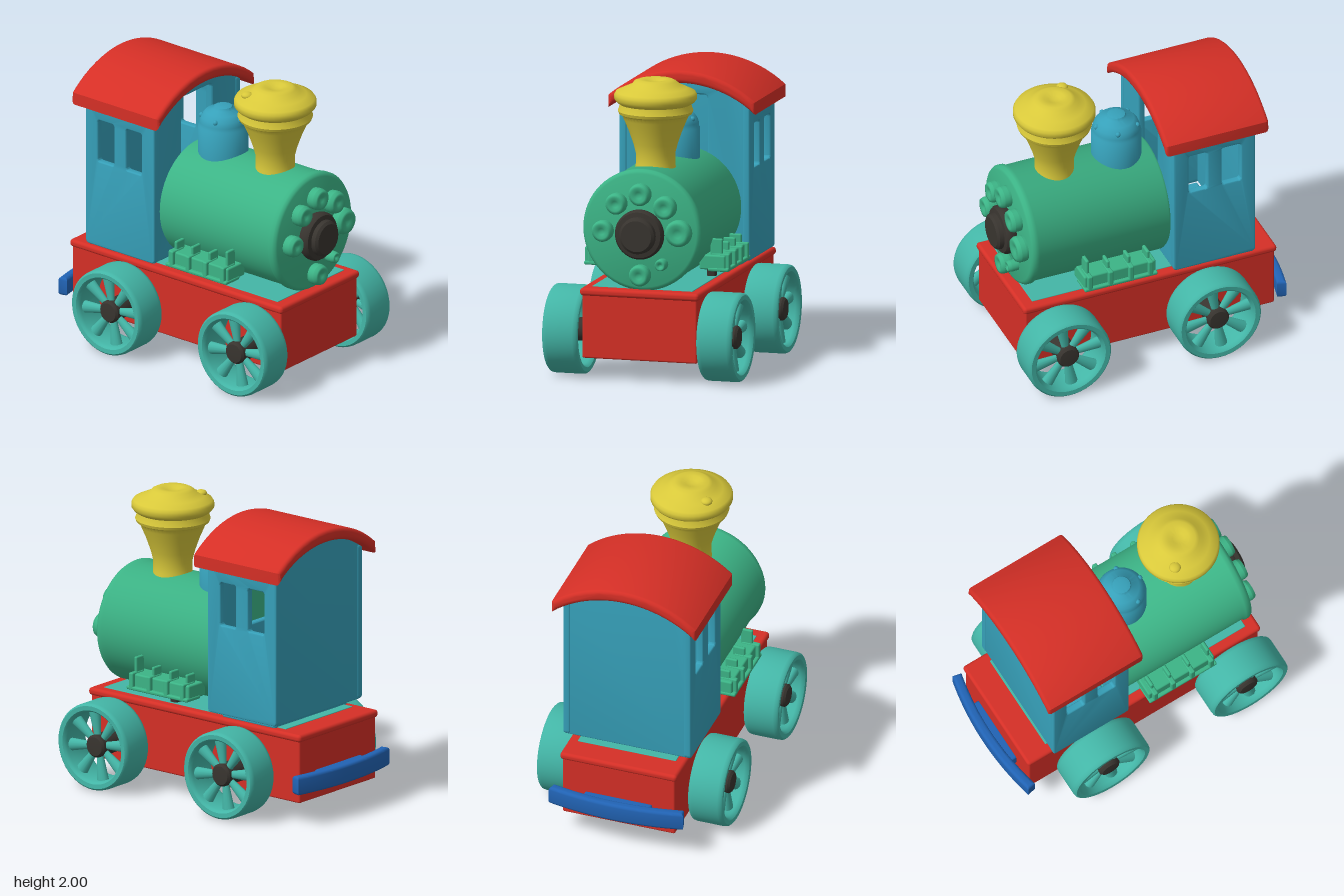
import * as THREE from 'three';
import { toCreasedNormals } from 'three/addons/utils/BufferGeometryUtils.js';
import { RoundedBoxGeometry } from 'three/addons/geometries/RoundedBoxGeometry.js';

const material = (name, color) => new THREE.MeshStandardMaterial({ name, color });

export function createModel() {
  const red = material('red', 0xd52f26);
  const green = material('green', 0x3cb486);
  const teal = material('teal', 0x43b5a6);
  const cyan = material('cyan', 0x36a0b9);
  const yellow = material('yellow', 0xd8c83a);
  const blue = material('blue', 0x2163b4);
  const dark = material('charcoal', 0x38342f);

  const model = new THREE.Group();
  model.name = 'toyLocomotive';

  const add = (name, geo, mat, parent = model) => {
    const mesh = new THREE.Mesh(geo, mat);
    mesh.name = name;
    parent.add(mesh);
    return mesh;
  };
  // Rounded box given by its extents
  const box = (name, mat, [x0, x1], [y0, y1], [z0, z1], r = 0.015, parent = model) => {
    const mesh = add(name, new RoundedBoxGeometry(x1 - x0, y1 - y0, z1 - z0, 3, r), mat, parent);
    mesh.position.set((x0 + x1) / 2, (y0 + y1) / 2, (z0 + z1) / 2);
    return mesh;
  };
  const lathe = (pts, seg = 48) =>
    toCreasedNormals(new THREE.LatheGeometry(pts.map(p => new THREE.Vector2(...p)), seg), 0.7);
  // Turned part whose axis points along +x
  const latheX = (pts, seg) => lathe(pts, seg).rotateZ(-Math.PI / 2);
  const extrude = (shape, depth, bevel = 0.012) => toCreasedNormals(new THREE.ExtrudeGeometry(shape, {
    depth: depth - 2 * bevel, bevelEnabled: bevel > 0, bevelSize: bevel, bevelThickness: bevel,
    bevelOffset: -bevel, bevelSegments: 3, curveSegments: 24,
  }).translate(0, 0, bevel), 0.6);
  const extrudeX = (shape, depth, bevel) => extrude(shape, depth, bevel).rotateY(Math.PI / 2);

  // Chassis with a lipped top and an inset floor
  box('chassis', red, [-0.89, 0.92], [0.15, 0.62], [-0.4, 0.4], 0.012);
  box('chassisLip', red, [-0.905, 0.935], [0.575, 0.627], [-0.415, 0.415], 0.022);
  box('floorPlate', teal, [-0.73, 0.85], [0.622, 0.632], [-0.35, 0.35], 0.004);

  // Curved rear bumper and its mount
  const R = 2.1, half = 0.23, arc = new THREE.Shape();
  arc.absarc(0, 0, R, Math.PI - half, Math.PI + half, false);
  arc.absarc(0, 0, R - 0.065, Math.PI + half, Math.PI - half, true);
  add('bumper', extrude(arc, 0.13, 0.02).rotateX(Math.PI / 2), blue).position.set(R - 1, 0.36, 0);
  box('bumperMount', blue, [-0.95, -0.88], [0.24, 0.35], [-0.24, 0.24]);

  // Wheels: hollow rim, flared spokes, hub
  const rimGeo = lathe([
    [0.245, -0.11], [0.255, -0.12], [0.285, -0.122], [0.296, -0.112], [0.3, -0.09], [0.3, 0.09],
    [0.296, 0.112], [0.285, 0.122], [0.255, 0.12], [0.245, 0.11], [0.238, 0.09], [0.238, -0.09], [0.245, -0.11],
  ]).rotateX(Math.PI / 2);
  const spokeGeo = new THREE.CylinderGeometry(0.045, 0.024, 0.19, 14).scale(1, 1, 0.8).translate(0, 0.155, 0.045);
  const hubGeo = lathe([[0, -0.13], [0.078, -0.13], [0.078, 0.08], [0.065, 0.095], [0, 0.1]], 32).rotateX(Math.PI / 2);
  for (const x of [-0.39, 0.7]) {
    for (const s of [1, -1]) {
      const wheel = new THREE.Group();
      wheel.name = (x > 0 ? 'front' : 'rear') + (s > 0 ? 'Near' : 'Far') + 'Wheel';
      wheel.position.set(x, 0.305, s * 0.538);
      if (s < 0) wheel.rotation.y = Math.PI;
      add('rim', rimGeo, teal, wheel);
      for (let i = 0; i < 8; i++) add('spoke', spokeGeo, teal, wheel).rotation.z = i * Math.PI / 4 + 0.15;
      add('hub', hubGeo, dark, wheel);
      model.add(wheel);
    }
  }

  // Boiler with a rounded front edge
  add('boiler', latheX([
    [0, -0.14], [0.39, -0.14], [0.4, -0.125], [0.4, 0.8], [0.412, 0.82], [0.412, 0.85], [0.4, 0.868], [0.385, 0.875], [0, 0.875],
  ], 64), green).position.y = 1.03;

  // Dished bolts on the boiler front: z, y, radius
  const boltGeo = latheX([[0.95, 0], [1, 0.02], [1, 0.055], [0.88, 0.078], [0.65, 0.08], [0.3, 0.07], [0, 0.055]], 24);
  for (const [z, y, r] of [
    [0, 1.28, 0.075], [0.165, 1.21, 0.072], [0.26, 1.02, 0.072], [-0.175, 1.2, 0.078],
    [-0.27, 1.03, 0.09], [0, 0.73, 0.072], [-0.15, 0.81, 0.04],
  ]) {
    const bolt = add('boilerBolt', boltGeo, green);
    bolt.position.set(0.87, y, z);
    bolt.scale.set(1, r, r);
  }
  add('smokeboxDoor', latheX([
    [0.15, 0.86], [0.168, 0.9], [0.168, 0.93], [0.155, 0.95], [0.125, 0.955], [0.122, 0.985], [0.105, 1], [0, 1],
  ]), dark).position.y = 1.01;

  // Side racks with ribs, hooks and support posts
  for (const s of [1, -1]) {
    const rack = new THREE.Group();
    rack.name = s > 0 ? 'nearRack' : 'farRack';
    const span = (a, b) => s > 0 ? [a, b] : [-b, -a];
    box('rackBody', green, [0.005, 0.525], [0.72, 0.82], span(0.3, 0.48), 0.012, rack);
    box('rackRail', green, [0, 0.53], [0.71, 0.735], span(0.36, 0.505), 0.01, rack);
    [0.05, 0.19, 0.34, 0.49].forEach((x, i) => {
      box('rackRib', green, [x - 0.018, x + 0.018], [0.71, 0.83], span(0.38, 0.505), 0.01, rack);
      box('rackHook', green, [x - 0.012, x + 0.012], [0.8, i === 3 ? 0.93 : 0.885], span(0.37, 0.455), 0.01, rack);
    });
    box('rackPost', dark, [0.23, 0.285], [0.62, 0.76], span(0.28, 0.34), 0.012, rack);
    model.add(rack);
  }

  // Steam dome
  add('steamDome', lathe([
    [0.17, 1.36], [0.17, 1.595], [0.162, 1.605], [0.162, 1.63], [0.15, 1.665], [0.12, 1.7], [0.07, 1.718],
    [0.06, 1.735], [0.035, 1.742], [0, 1.738],
  ]), cyan).position.x = 0.09;
  for (let i = 0; i < 5; i++) {
    const a = i * Math.PI * 0.4;
    const stud = add('domeStud', new THREE.SphereGeometry(0.018, 12, 8), cyan);
    stud.position.set(0.09 + 0.145 * Math.cos(a), 1.665, 0.145 * Math.sin(a));
  }

  // Flared chimney
  add('chimney', lathe([
    [0.145, 1.36], [0.132, 1.43], [0.132, 1.5], [0.15, 1.57], [0.182, 1.66], [0.212, 1.73], [0.225, 1.76],
    [0.245, 1.77], [0.253, 1.79], [0.245, 1.812], [0.24, 1.835], [0.262, 1.85], [0.277, 1.87], [0.277, 1.9],
    [0.265, 1.92], [0.21, 1.945], [0.165, 1.965], [0.14, 1.988], [0.115, 2], [0.07, 1.998], [0.04, 1.985], [0, 1.98],
  ]), yellow).position.x = 0.54;
  for (const [x, z] of [[0.63, -0.09], [0.42, 0.15]]) {
    const bump = add('chimneyBump', new THREE.SphereGeometry(0.04, 16, 10), yellow);
    bump.scale.y = 0.6;
    bump.position.set(x, 1.95, z);
  }

  // Cab side walls with two windows each
  const rect = (shape, x0, x1, y0, y1, r) => {
    shape.moveTo(x0 + r, y0).lineTo(x1 - r, y0).quadraticCurveTo(x1, y0, x1, y0 + r)
      .lineTo(x1, y1 - r).quadraticCurveTo(x1, y1, x1 - r, y1).lineTo(x0 + r, y1)
      .quadraticCurveTo(x0, y1, x0, y1 - r).lineTo(x0, y0 + r).quadraticCurveTo(x0, y0, x0 + r, y0);
    return shape;
  };
  const side = rect(new THREE.Shape(), -0.73, -0.135, 0.665, 1.75, 0.03);
  for (const [a, b] of [[-0.625, -0.485], [-0.38, -0.245]]) {
    side.holes.push(rect(new THREE.Path(), a, b, 1.285, 1.585, 0.02));
  }
  const sideGeo = extrude(side, 0.05, 0.01);
  for (const s of [1, -1]) add('cabSideWall', sideGeo, cyan).position.z = s > 0 ? 0.405 : -0.455;

  // Cab end walls, arched under the roof; the front one has a doorway
  const roofY = z => Math.sqrt(0.784 ** 2 - z * z) + 1.166;
  const endWall = () => {
    const w = new THREE.Shape().moveTo(-0.44, 0.665).lineTo(0.44, 0.665);
    for (let i = 0; i <= 16; i++) w.lineTo(0.44 - 0.055 * i, roofY(0.44 - 0.055 * i) - 0.06);
    return w.closePath();
  };
  add('cabRearWall', extrudeX(endWall(), 0.05), cyan).position.x = -0.725;
  const front = endWall();
  front.holes.push(rect(new THREE.Path(), -0.16, 0.16, 1.2, 1.78, 0.03));
  add('cabFrontWall', extrudeX(front, 0.05), cyan).position.x = -0.19;
  box('cabBase', cyan, [-0.66, -0.2], [0.62, 0.69], [-0.38, 0.38]);

  // Arched roof
  const roof = new THREE.Shape();
  for (let i = 0; i <= 24; i++) {
    const z = 0.512 - i * 1.024 / 24;
    i ? roof.lineTo(z, roofY(z)) : roof.moveTo(z, roofY(z));
  }
  for (let i = 0; i <= 24; i++) {
    const z = -0.512 + i * 1.024 / 24;
    roof.lineTo(z, roofY(z) - 0.085);
  }
  add('roof', extrudeX(roof, 0.75, 0.025), red).position.x = -0.805;

  return model;
}
